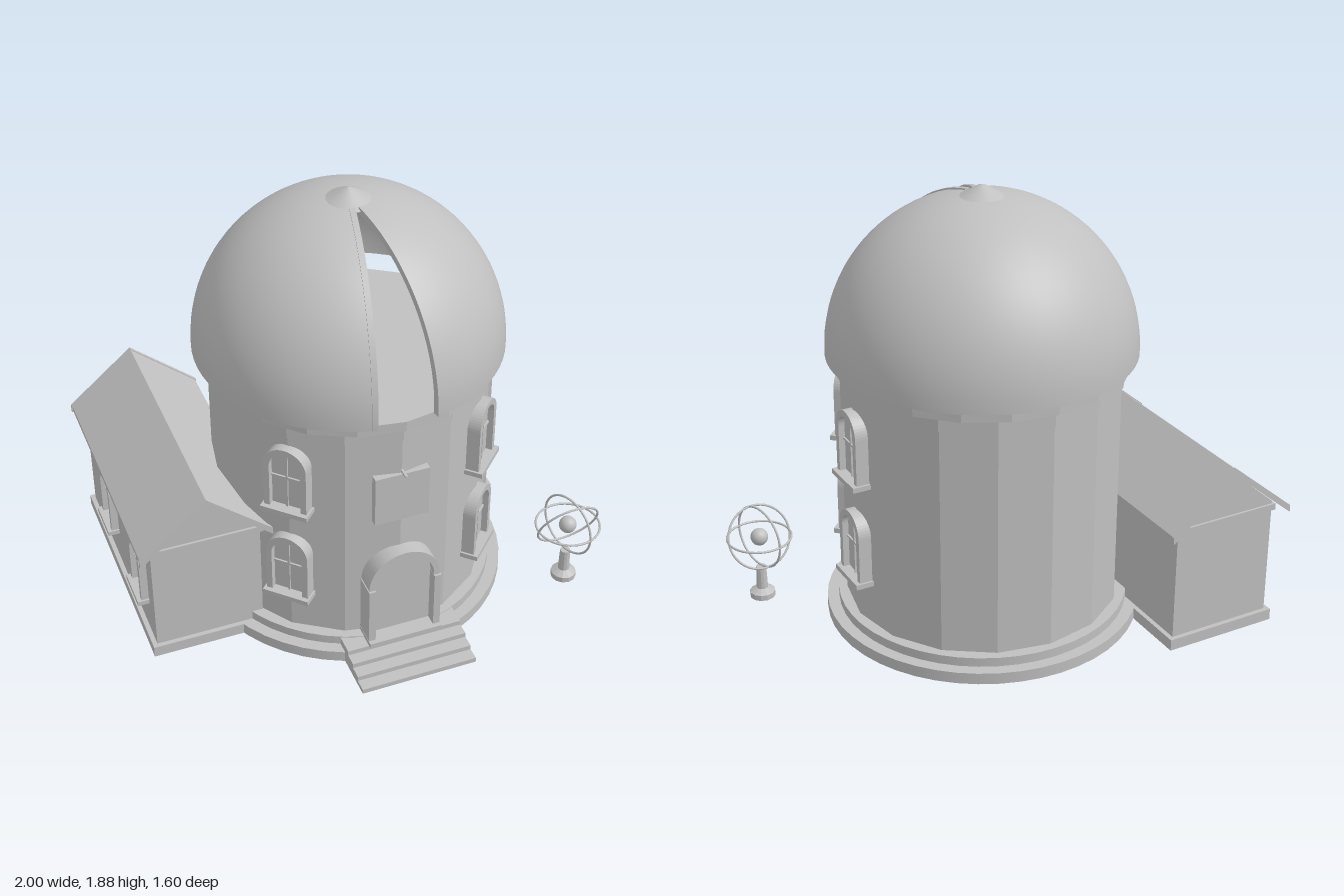
import * as THREE from 'three';

const CX = 0.02, CZ = -0.02; // tower axis

export function createModel() {
  const model = new THREE.Group();
  model.name = 'observatory';
  const stone = new THREE.MeshStandardMaterial({ color: 0xc0c0c0 });
  stone.name = 'pale grey';
  const thin = new THREE.MeshStandardMaterial({ color: 0xc0c0c0, side: THREE.DoubleSide });
  thin.name = 'pale grey shell';

  const add = (parent, name, geo, x = 0, y = 0, z = 0, mat = stone) => {
    const m = new THREE.Mesh(geo, mat);
    m.name = name;
    m.position.set(x, y, z);
    parent.add(m);
    return m;
  };
  const group = (parent, name, x = 0, y = 0, z = 0) => {
    const g = new THREE.Group();
    g.name = name;
    g.position.set(x, y, z);
    parent.add(g);
    return g;
  };
  // box given by its limits
  const box = (parent, name, x0, x1, y0, y1, z0, z1) =>
    add(parent, name, new THREE.BoxGeometry(x1 - x0, y1 - y0, z1 - z0), (x0 + x1) / 2, (y0 + y1) / 2, (z0 + z1) / 2);
  const faceted = (geo) => {
    const g = geo.toNonIndexed();
    g.computeVertexNormals();
    return g;
  };
  const drum = (parent, name, r, y0, y1, sides, flat, open = false) => {
    const g = new THREE.CylinderGeometry(r, r, y1 - y0, sides, 1, open);
    return add(parent, name, flat ? faceted(g) : g, 0, (y0 + y1) / 2, 0);
  };
  const extrude = (shape, depth, curveSegments = 12) =>
    new THREE.ExtrudeGeometry(shape, { depth, bevelEnabled: false, curveSegments });
  // round-headed outline: half width w, springing line at height h
  const archOutline = (path, w, h) => {
    path.moveTo(-w, 0);
    path.lineTo(w, 0);
    path.lineTo(w, h);
    path.absarc(0, h, w, 0, Math.PI, false);
    path.lineTo(-w, 0);
    return path;
  };
  const archFrame = (w, inner, h) => {
    const s = archOutline(new THREE.Shape(), w, h);
    s.holes.push(archOutline(new THREE.Path(), inner, h));
    return s;
  };

  // Arched window, facing local +z with its wall at z = 0 and its sill top at y = 0
  const addWindow = (parent, x, y, z, turn, scale = 1) => {
    const w = group(parent, 'window', x, y, z);
    w.rotation.y = turn;
    w.scale.setScalar(scale);
    add(w, 'windowFrame', extrude(archFrame(0.093, 0.067, 0.203), 0.065), 0, 0, -0.03);
    add(w, 'windowPane', extrude(archOutline(new THREE.Shape(), 0.07, 0.203), 0.006), 0, 0, 0.002);
    box(w, 'windowBar', -0.004, 0.004, 0, 0.27, 0.004, 0.016);
    box(w, 'windowBar', -0.067, 0.067, 0.141, 0.149, 0.004, 0.016);
    box(w, 'windowSill', -0.102, 0.102, -0.02, 0.002, -0.04, 0.055);
  };

  // Tower: stepped base, sixteen-sided wall, bands
  const tower = group(model, 'tower', CX, 0, CZ);
  drum(tower, 'lowerBase', 0.67, 0, 0.05, 48, false);
  drum(tower, 'upperBase', 0.62, 0.05, 0.09, 48, false);
  drum(tower, 'wall', 0.583, 0.09, 1.14, 16, true);
  drum(tower, 'topBand', 0.592, 1.08, 1.14, 16, true);
  drum(tower, 'cornice', 0.617, 1.14, 1.185, 20, true, true);
  add(tower, 'corniceUnderside', new THREE.RingGeometry(0.57, 0.617, 20), 0, 1.14, 0).rotation.x = Math.PI / 2;
  for (const turn of [-Math.PI / 4, Math.PI / 4, Math.PI / 2])
    for (const y of [0.29, 0.74])
      addWindow(tower, Math.sin(turn) * 0.585, y, Math.cos(turn) * 0.585, turn);

  // Dome with a wedge-shaped slit at the front
  const R = 0.64, DY = 1.2, GAP = 0.21;
  const profile = [new THREE.Vector2(R, 1.185)];
  for (let i = 0; i <= 24; i++) {
    const a = (i / 24) * (Math.PI / 2 - 0.1);
    profile.push(new THREE.Vector2(R * Math.cos(a), DY + R * Math.sin(a)));
  }
  add(tower, 'domeShell', new THREE.LatheGeometry(profile, 64, GAP, Math.PI * 2 - 2 * GAP), 0, 0, 0, thin);
  const capProfile = [[0.105, 1.825], [0.055, 1.852], [0.02, 1.873], [0, 1.88]].map(p => new THREE.Vector2(...p));
  add(tower, 'domeCap', new THREE.LatheGeometry(capProfile, 32), 0, 0, 0, thin);
  const ribShape = new THREE.Shape();
  const ribEnd = Math.PI / 2 - 0.14;
  ribShape.absarc(0, 0, R + 0.006, -0.02, ribEnd, false);
  ribShape.absarc(0, 0, R - 0.022, ribEnd, -0.02, true);
  for (const s of [-1, 1]) {
    const rib = group(tower, 'slitRib', 0, DY, 0);
    rib.rotation.y = -Math.PI / 2 + s * GAP;
    add(rib, 'ribBeam', extrude(ribShape, 0.024, 28), 0, 0, -0.012);
  }

  // Entrance: steps, threshold, arched surround and door
  const entrance = group(model, 'entrance', CX, 0, 0);
  [0.8, 0.745, 0.69, 0.635].forEach((z, i) =>
    box(entrance, 'step', -0.253, 0.253, i * 0.0215, (i + 1) * 0.0215, 0.45, z));
  box(entrance, 'threshold', -0.16, 0.16, 0.086, 0.107, 0.5, 0.65);
  add(entrance, 'doorSurround', extrude(archFrame(0.155, 0.13, 0.275), 0.09, 20), 0, 0.105, 0.53);
  add(entrance, 'door', extrude(archOutline(new THREE.Shape(), 0.132, 0.275), 0.03, 20), 0, 0.105, 0.55);
  for (const s of [-1, 1])
    box(entrance, 'doorPilaster', s * 0.144 - 0.015, s * 0.144 + 0.015, 0.105, 0.375, 0.52, 0.63);

  // Sundial plate and pointer
  const sundial = group(model, 'sundial', CX, 0, 0);
  box(sundial, 'sundialPlate', -0.116, 0.116, 0.68, 0.91, 0.53, 0.574);
  box(sundial, 'sundialPointer', -0.005, 0.005, 0.917, 0.927, 0.55, 0.612);

  // Side wing with gabled roof
  const wing = group(model, 'wing', -0.7125, 0, -0.24);
  box(wing, 'wingPlinth', -0.253, 0.253, 0, 0.05, -0.53, 0.53);
  const gable = new THREE.Shape([[-0.233, 0.05], [0.233, 0.05], [0.233, 0.57], [0, 0.77], [-0.233, 0.57]]
    .map(p => new THREE.Vector2(...p)));
  add(wing, 'wingWalls', extrude(gable, 1.02), 0, 0, -0.51);
  box(wing, 'eaveBand', -0.246, 0.246, 0.53, 0.558, -0.52, 0.52);
  const chevron = (w, top, eave, t) => new THREE.Shape(
    [[-w, eave - t], [0, top - t], [w, eave - t], [w, eave], [0, top], [-w, eave]].map(p => new THREE.Vector2(...p)));
  add(wing, 'roof', extrude(chevron(0.284, 0.795, 0.558, 0.02), 1.1), 0, 0, -0.55);
  for (const z of [-0.562, 0.546])
    add(wing, 'roofTrim', extrude(chevron(0.288, 0.8, 0.56, 0.032), 0.016), 0, 0, z);
  for (const z of [-0.13, 0.34]) addWindow(wing, -0.233, 0.23, z, -Math.PI / 2, 0.9);

  // Armillary sphere on a pedestal
  const armillary = group(model, 'armillary', 0.855, 0, 0.45);
  const footProfile = [[0, 0], [0.055, 0], [0.055, 0.025], [0.025, 0.042], [0.022, 0.145], [0, 0.145]]
    .map(p => new THREE.Vector2(...p));
  add(armillary, 'pedestal', faceted(new THREE.LatheGeometry(footProfile, 12)));
  add(armillary, 'globe', new THREE.SphereGeometry(0.038, 20, 14), 0, 0.29, 0);
  for (const [rx, ry] of [[Math.PI / 2, 0], [0, Math.PI / 2 + 0.3], [0.41, 0]]) {
    const ring = add(armillary, 'ring', new THREE.TorusGeometry(0.138, 0.005, 8, 48), 0, 0.29, 0);
    ring.rotation.set(rx, ry, 0);
  }

  return model;
}
